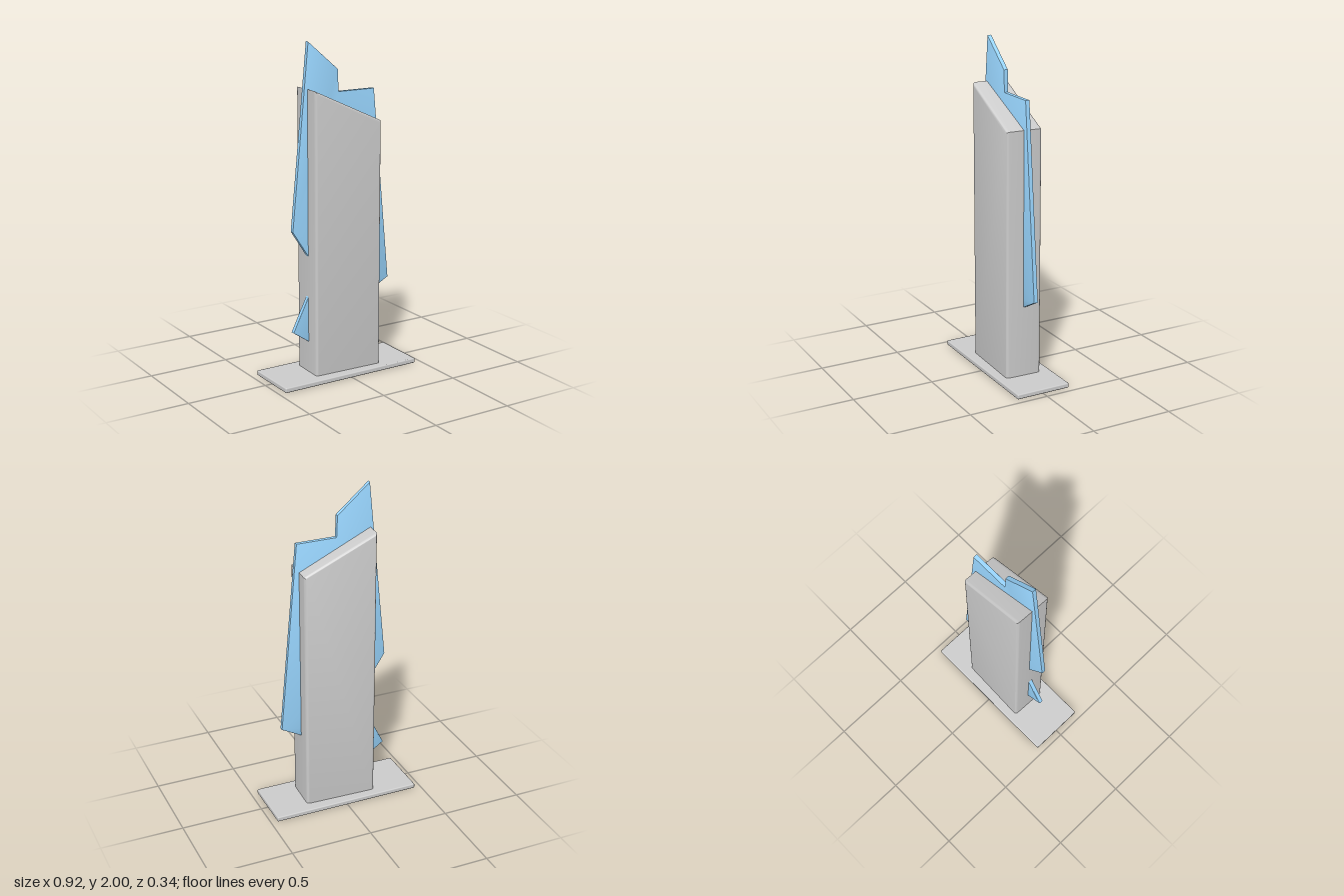
import * as THREE from 'three';
import { toCreasedNormals } from 'three/addons/utils/BufferGeometryUtils.js';
import { RoundedBoxGeometry } from 'three/addons/geometries/RoundedBoxGeometry.js';

const grey = new THREE.MeshStandardMaterial({ color: 0xcccccc });
const blue = new THREE.MeshStandardMaterial({ color: 0x99d6ff });

// Slab cut from a front outline, centred on z = 0, with rounded edges inside the outline
function slab(name, outline, depth, bevel, material, segments) {
  const shape = new THREE.Shape(outline.map(([x, y]) => new THREE.Vector2(x, y)));
  const geometry = new THREE.ExtrudeGeometry(shape, {
    depth: depth - 2 * bevel,
    bevelEnabled: true,
    bevelThickness: bevel,
    bevelSize: bevel,
    bevelOffset: -bevel,
    bevelSegments: segments,
  });
  geometry.translate(0, 0, bevel - depth / 2);
  const mesh = new THREE.Mesh(toCreasedNormals(geometry, 0.6), material);
  mesh.name = name;
  return mesh;
}

export function createModel() {
  const model = new THREE.Group();
  model.name = 'trophy';

  // Flat plinth
  const base = new THREE.Mesh(new RoundedBoxGeometry(0.92, 0.03, 0.344, 2, 0.007), grey);
  base.name = 'base';
  base.position.y = 0.015;
  model.add(base);

  // Upright column with a slanted top, turned slightly on the plinth
  const column = slab('column',
    [[-0.221, 0.005], [0.221, 0.005], [0.221, 1.525], [-0.221, 1.73]],
    0.225, 0.018, grey, 4);
  column.position.x = 0.015;
  column.rotation.y = -0.034;
  model.add(column);

  // Thin blade running through the column, with a stepped top
  const blade = slab('blade',
    [[-0.31, 0.905], [-0.2, 0.735], [0.0, 0.465], [0.24, 0.465], [0.36, 0.53],
      [0.25, 1.7], [0.005, 1.7], [0.0, 1.83], [-0.2, 2.0]],
    0.027, 0.004, blue, 2);

  // Small lower fin on the right flank
  const fin = slab('lowerFin',
    [[-0.31, 0.29], [-0.15, 0.18], [-0.15, 0.61]],
    0.027, 0.004, blue, 2);

  for (const part of [blade, fin]) {
    part.position.z = -0.002;
    model.add(part);
  }
  return model;
}
